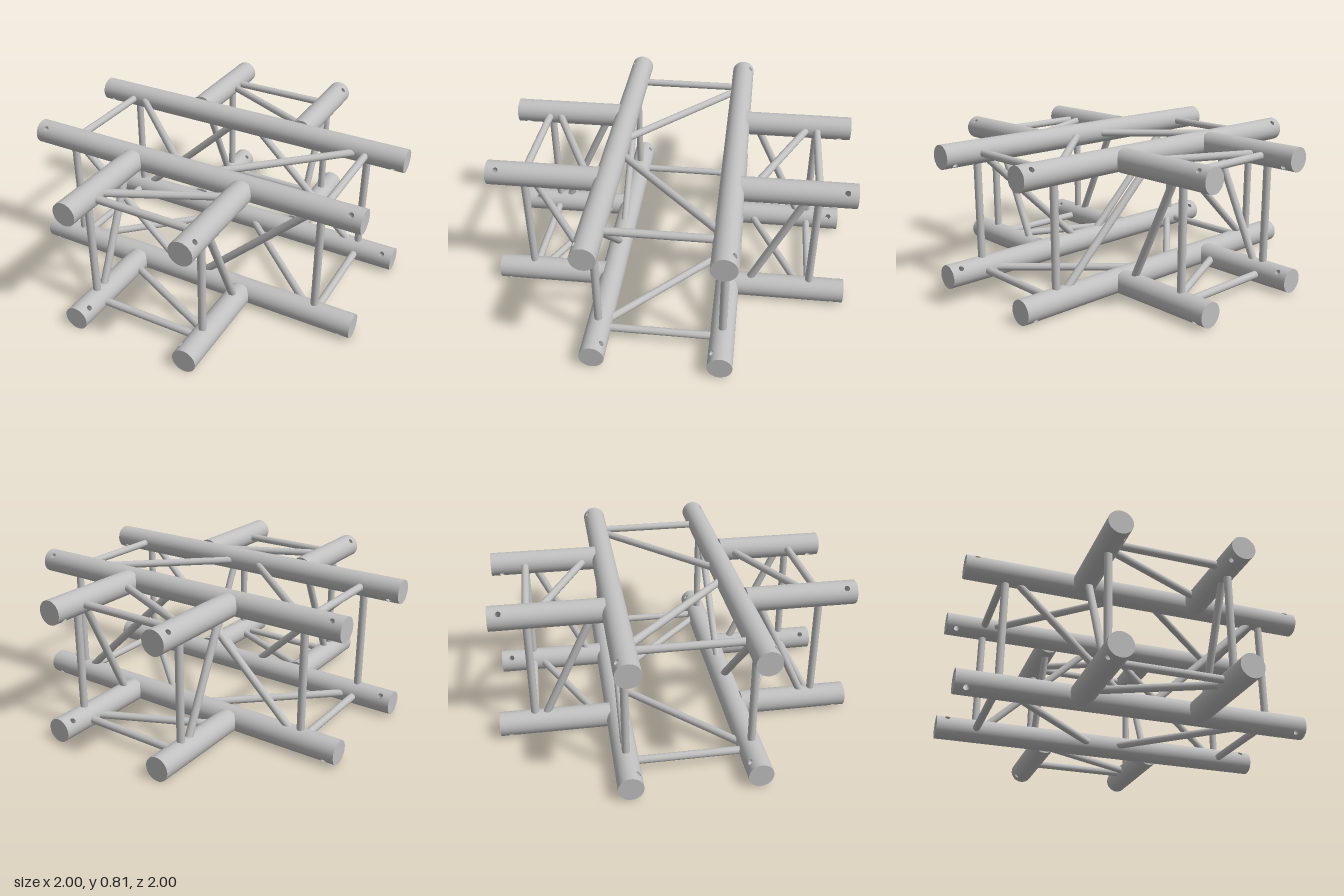
import * as THREE from 'three';
import { mergeGeometries } from 'three/addons/utils/BufferGeometryUtils.js';

const R = 0.0675;          // chord tube radius
const ROD = 0.0215;        // brace radius
const HOLE = 0.015;        // bolt hole radius
const COLLAR = 0.06;       // half length of the drilled end of a tube
const SIDE = 0.338, LOW = R, HIGH = 0.745;

// Half of a tube wall, wrapped round +z, with a round hole in its middle
function drilledWall(yMid) {
  const n = 16, rings = 6, count = 4 * n;
  const pos = [], nor = [], idx = [];
  for (let k = 0; k <= count; k++) {
    // walk round a unit square, counter-clockwise
    const side = Math.floor(k / n) % 4, t = ((k % n) / n) * 2 - 1;
    const [sx, sy] = [[1, t], [-t, 1], [-1, -t], [t, -1]][side];
    const a = Math.atan2(sy, sx);
    const innerU = Math.asin((HOLE * Math.cos(a)) / R), innerV = HOLE * Math.sin(a);
    for (let j = 0; j <= rings; j++) {
      const f = j / rings;
      const u = THREE.MathUtils.lerp(innerU, (sx * Math.PI) / 2, f);
      const v = THREE.MathUtils.lerp(innerV, sy * COLLAR, f);
      pos.push(R * Math.sin(u), yMid + v, R * Math.cos(u));
      nor.push(Math.sin(u), 0, Math.cos(u));
      if (k < count && j < rings) {
        const p = k * (rings + 1) + j, q = p + rings + 1;
        idx.push(p, p + 1, q + 1, p, q + 1, q);
      }
    }
  }
  const g = new THREE.BufferGeometry();
  g.setAttribute('position', new THREE.Float32BufferAttribute(pos, 3));
  g.setAttribute('normal', new THREE.Float32BufferAttribute(nor, 3));
  g.setIndex(idx);
  return g;
}

// Lining of a bolt hole running right through the tube along z
function holeLining(yMid) {
  const g = new THREE.CylinderGeometry(HOLE, HOLE, 2, 24, 1, true).rotateX(Math.PI / 2);
  const p = g.attributes.position;
  for (let i = 0; i < p.count; i++) {
    p.setZ(i, Math.sign(p.getZ(i)) * Math.sqrt(R * R - p.getX(i) ** 2));
  }
  return g.translate(0, yMid, 0);
}

// Closed tube along y from y0 to y1, drilled at the top and optionally the bottom
function tubeGeometry(y0, y1, bothEnds) {
  const bodyLow = bothEnds ? y0 + 2 * COLLAR : y0;
  const bodyHigh = y1 - 2 * COLLAR;
  const parts = [
    new THREE.CylinderGeometry(R, R, bodyHigh - bodyLow, 32, 1, true).translate(0, (bodyLow + bodyHigh) / 2, 0),
    new THREE.CircleGeometry(R, 32).rotateX(-Math.PI / 2).translate(0, y1, 0),
    new THREE.CircleGeometry(R, 32).rotateX(Math.PI / 2).translate(0, y0, 0),
  ];
  const drilled = bothEnds ? [y1 - COLLAR, y0 + COLLAR] : [y1 - COLLAR];
  for (const y of drilled) {
    parts.push(drilledWall(y), drilledWall(y).rotateY(Math.PI), holeLining(y));
  }
  parts.forEach((g) => g.deleteAttribute('uv'));
  return mergeGeometries(parts);
}

export function createModel() {
  const model = new THREE.Group();
  model.name = 'trussCross';
  // double sided for the hole linings, which are seen from inside
  const metal = new THREE.MeshStandardMaterial({ color: 0xc0c0c0, side: THREE.DoubleSide });
  metal.name = 'aluminium';

  // Place a tube with its length along "axis" and its bolt holes along "drill"
  function tube(name, geometry, centre, axis, drill) {
    const mesh = new THREE.Mesh(geometry, metal);
    mesh.name = name;
    drill.normalize();
    const across = new THREE.Vector3().crossVectors(axis, drill);
    mesh.quaternion.setFromRotationMatrix(new THREE.Matrix4().makeBasis(across, axis, drill));
    mesh.position.copy(centre);
    model.add(mesh);
  }

  // Round bar between two points
  function rod(parent, name, a, b) {
    const mesh = new THREE.Mesh(new THREE.CylinderGeometry(ROD, ROD, a.distanceTo(b), 20), metal);
    mesh.name = name;
    mesh.position.addVectors(a, b).multiplyScalar(0.5);
    mesh.quaternion.setFromUnitVectors(new THREE.Vector3(0, 1, 0), b.clone().sub(a).normalize());
    parent.add(mesh);
  }

  // Four long chords along x and eight stubs along z, butted into them
  const chord = tubeGeometry(-1, 1, true);
  const stub = tubeGeometry(0.382, 1, false);
  for (const [y, up] of [[LOW, -1], [HIGH, 1]]) {
    for (const s of [-1, 1]) {
      tube('mainChord', chord, new THREE.Vector3(0, y, s * SIDE),
        new THREE.Vector3(1, 0, 0), new THREE.Vector3(0, up, s));
      for (const end of [-1, 1]) {
        tube('sideChord', stub, new THREE.Vector3(s * SIDE, y, 0),
          new THREE.Vector3(0, 0, end), new THREE.Vector3(s, up, 0));
      }
    }
  }

  // Each arm has a square end frame and one diagonal on each of its four faces
  const corners = [[HIGH, SIDE], [HIGH, -SIDE], [LOW, -SIDE], [LOW, SIDE]];
  function braceArm(name, alongX, s, frame, outer, inner) {
    const arm = new THREE.Group();
    arm.name = name;
    const at = (d, [y, w]) => (alongX ? new THREE.Vector3(s * d, y, w) : new THREE.Vector3(w, y, s * d));
    corners.forEach((corner, i) => {
      const previous = corners[(i + 3) % 4];
      rod(arm, 'frameBar', at(frame, previous), at(frame, corner));
      rod(arm, 'diagonalBrace', at(outer, corner), at(inner, previous));
    });
    model.add(arm);
  }
  braceArm('leftArmBracing', true, 1, 0.773, 0.755, 0.045);
  braceArm('rightArmBracing', true, -1, 0.773, 0.755, 0.045);
  braceArm('frontArmBracing', false, 1, 0.803, 0.762, 0.442);
  braceArm('backArmBracing', false, -1, 0.803, 0.762, 0.442);

  return model;
}
